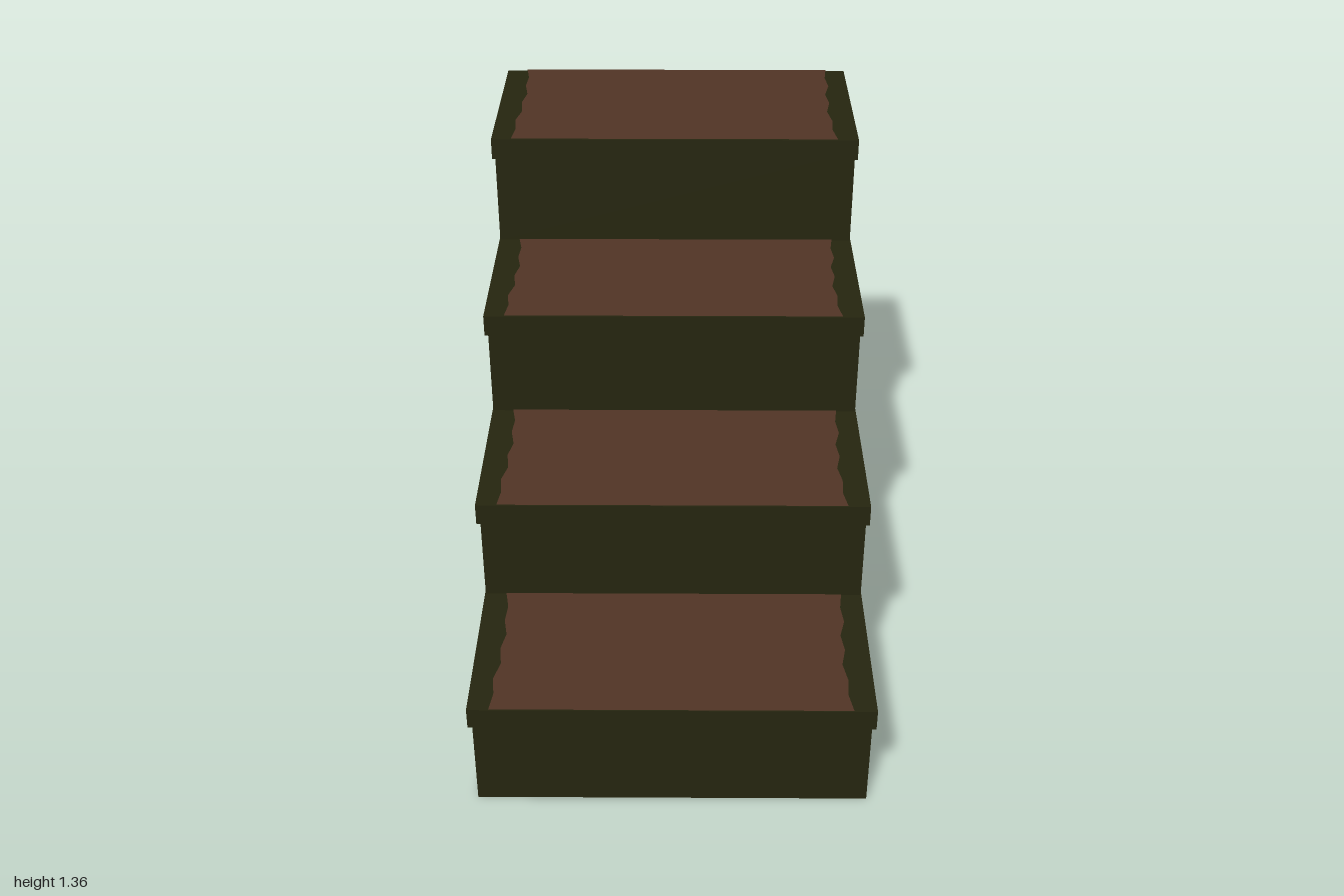
import * as THREE from 'three';

const WIDTH = 1.016;
const TREAD = { depth: 0.533, thick: 0.058 };
const POST = 0.079;
const TOPS = [0.355, 0.688, 1.02, 1.355];

export function createModel() {
  const wood = new THREE.MeshStandardMaterial({ color: 0x25250f });
  wood.name = 'dark green wood';
  const brown = new THREE.MeshStandardMaterial({ color: 0x503425 });
  brown.name = 'brown carpet';

  const stairs = new THREE.Group();
  stairs.name = 'stairs';

  function add(name, geometry, material, x, y, z) {
    const mesh = new THREE.Mesh(geometry, material);
    mesh.name = name;
    mesh.position.set(x, y, z);
    stairs.add(mesh);
    return mesh;
  }

  // Box given by its height range and depth range
  function slab(name, width, y0, y1, z0, z1, x = 0) {
    add(name, new THREE.BoxGeometry(width, y1 - y0, z1 - z0), wood, x, (y0 + y1) / 2, (z0 + z1) / 2);
  }

  // Sloping timber cut from a side outline of [z, y] points
  function timber(name, outline, x) {
    const shape = new THREE.Shape(outline.map(([z, y]) => new THREE.Vector2(z, y)));
    const width = POST - 0.002;
    const geometry = new THREE.ExtrudeGeometry(shape, { depth: width, bevelEnabled: false });
    geometry.translate(0, 0, -width / 2);
    geometry.rotateY(-Math.PI / 2);
    add(name, geometry, wood, x, 0, 0);
  }

  // Carpet with worn, uneven side edges
  const margins = [0.055, 0.062, 0.056, 0.07, 0.063, 0.074, 0.064, 0.068, 0.058];
  function carpet(depth, y, front) {
    const n = margins.length - 1;
    const left = margins.map((m, i) => new THREE.Vector2(-WIDTH / 2 + m, (depth * i) / n));
    const right = margins.map((m, i) => new THREE.Vector2(WIDTH / 2 - margins[n - i], (depth * i) / n));
    const geometry = new THREE.ShapeGeometry(new THREE.Shape([...right, ...left.reverse()]));
    geometry.rotateX(-Math.PI / 2);
    add('treadCarpet', geometry, brown, 0, y + 0.003, front);
  }

  // Four steps, each a riser board under an overhanging tread
  TOPS.forEach((top, i) => {
    const front = 0.868 - i * 0.401;
    const under = top - TREAD.thick;
    slab('tread', WIDTH, under, top, front - TREAD.depth, front);
    slab('riser', WIDTH - 0.004, i ? TOPS[i - 1] : 0, under, front - 0.128, front - 0.058);
    carpet(i === 3 ? TREAD.depth : 0.458, top, front);
  });

  // Matching side frames
  for (const side of [1, -1]) {
    const x = side * 0.391;
    slab('backPost', POST, 0, 1.297, -0.863, -0.783, x);
    slab('bottomRail', POST, 0.03, 0.1, -0.783, 0.74, x);
    timber('stringer', [[0.678, 0], [0.74, 0], [0.74, 0.03], [-0.783, 1.247], [-0.783, 1.167]], x);
    timber('brace', [[-0.783, 0.06], [-0.04, 0.569], [-0.04, 0.649], [-0.783, 0.14]], x);
  }

  // The whole flight stands turned to one side
  stairs.rotation.y = 0.436;
  const model = new THREE.Group();
  model.name = 'woodenSteps';
  model.add(stairs);
  return model;
}
